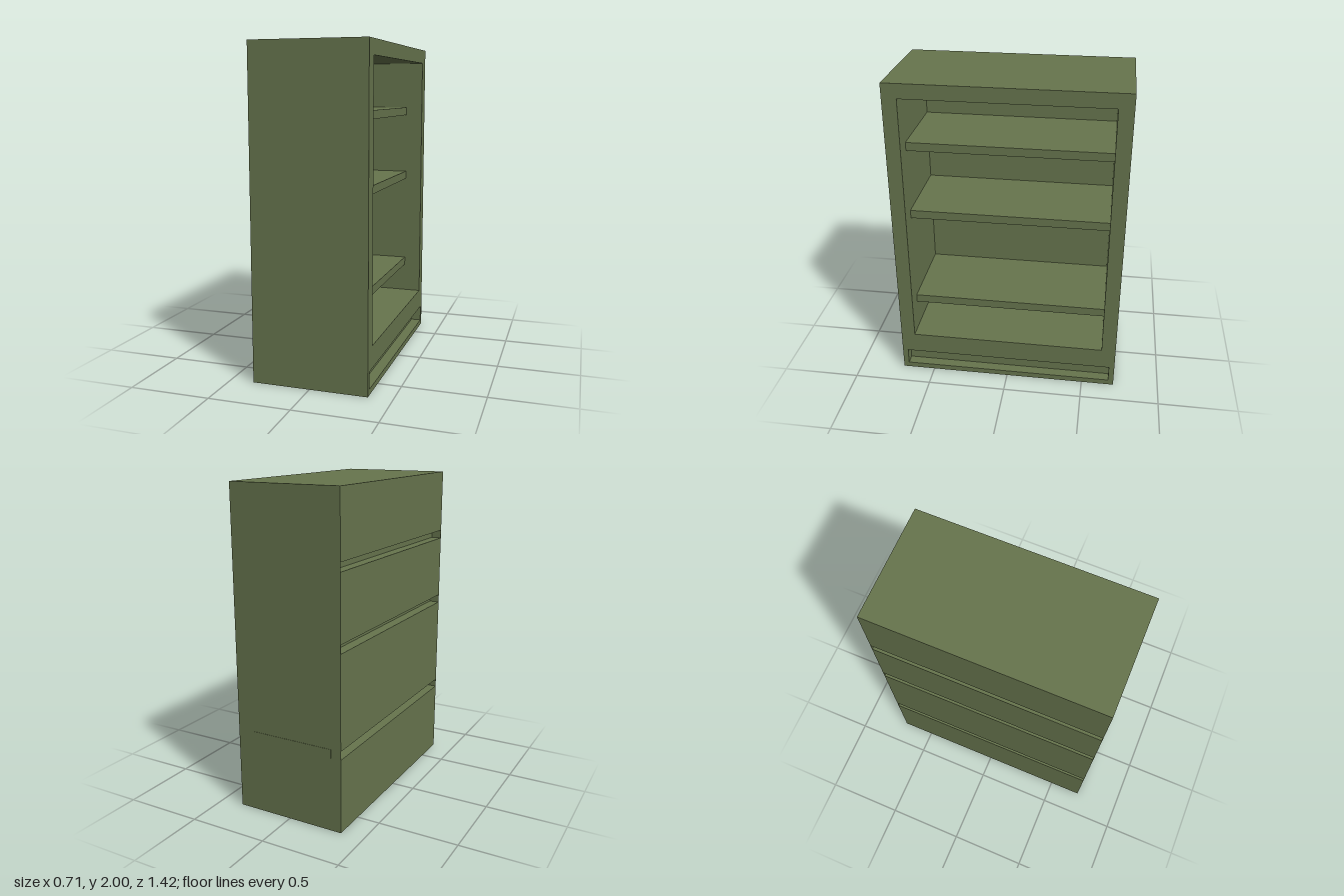
import * as THREE from 'three';

export function createModel() {
  const model = new THREE.Group();
  model.name = 'bookcase';
  const green = new THREE.MeshStandardMaterial({ color: 0x66744d });
  green.name = 'olive green';

  const X = 0.355, Z = 0.71, H = 2;            // outer half width, half length, height
  const IN = 0.245, BACK = -0.29, WALL = 0.62; // frame back, rear panel face, inner side wall
  const FLOOR = 0.275, CEIL = 1.91;

  // Box given by its two opposite corners
  function box(name, x0, x1, y0, y1, z0, z1) {
    const mesh = new THREE.Mesh(new THREE.BoxGeometry(x1 - x0, y1 - y0, z1 - z0), green);
    mesh.position.set((x0 + x1) / 2, (y0 + y1) / 2, (z0 + z1) / 2);
    mesh.name = name;
    model.add(mesh);
  }

  function rect(path, a0, a1, y0, y1) {
    path.moveTo(a0, y0);
    path.lineTo(a1, y0);
    path.lineTo(a1, y1);
    path.lineTo(a0, y1);
    path.closePath();
    return path;
  }

  // Face frame with the shelf opening and the toe slot
  const outline = rect(new THREE.Shape(), -Z, Z, 0, H);
  outline.holes.push(rect(new THREE.Path(), -WALL, WALL, FLOOR, CEIL));
  outline.holes.push(rect(new THREE.Path(), -0.675, 0.675, 0.035, 0.14));
  const frameGeo = new THREE.ExtrudeGeometry(outline, { depth: X - IN, bevelEnabled: false });
  frameGeo.rotateY(Math.PI / 2);
  frameGeo.translate(IN, 0, 0);
  const frame = new THREE.Mesh(frameGeo, green);
  frame.name = 'faceFrame';
  model.add(frame);

  // Recessed board behind the toe slot
  box('toeBoard', IN, 0.29, 0.03, 0.145, -0.68, 0.68);

  // Top, base and side walls
  box('top', BACK, IN, CEIL, H, -Z, Z);
  box('base', BACK, IN, 0, FLOOR, -Z, Z);
  for (const s of [-1, 1]) {
    const span = (a, b) => [Math.min(s * a, s * b), Math.max(s * a, s * b)];
    box('sideWall', BACK, IN, FLOOR, CEIL, ...span(WALL, Z));
    // Thin skin closing the ends of the rear slots
    box('sideSkin', -X, BACK, 0, H, ...span(Z - 0.003, Z));
  }

  // Shelves; the lowest one just pokes through the end wall
  const shelves = [[0.465, 0.518], [1.096, 1.149], [1.551, 1.604]];
  shelves.forEach(([y0, y1], i) => {
    box('shelf', BACK, IN, y0, y1, i === 0 ? -Z - 0.002 : -0.7, 0.7);
  });

  // Rear panels, leaving a slot at each shelf
  const edges = [0, ...shelves.flat(), H];
  for (let i = 0; i < edges.length; i += 2) {
    box('rearPanel', -X, BACK, edges[i], edges[i + 1], -Z + 0.003, Z - 0.003);
  }

  return model;
}
